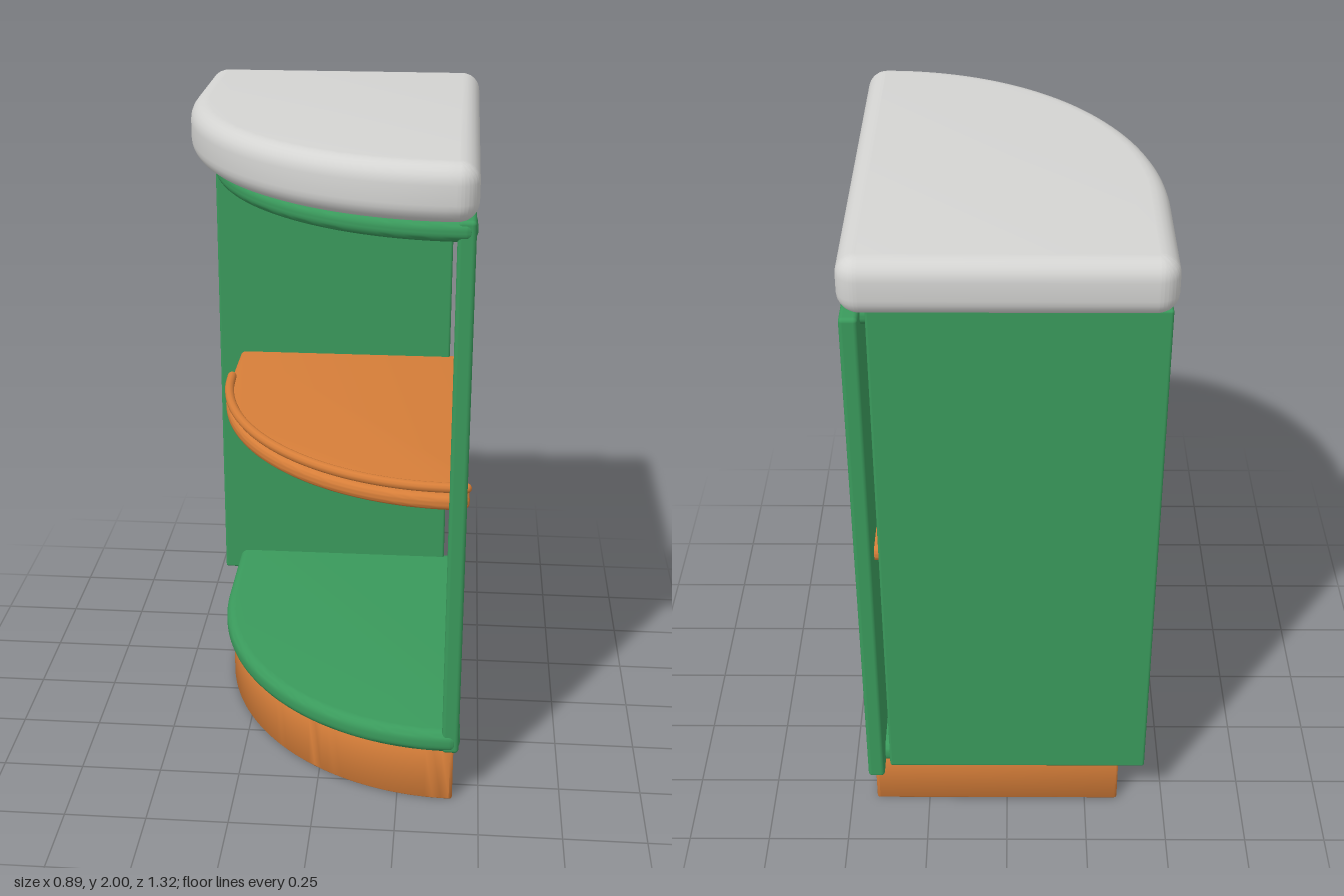
import * as THREE from 'three';
import { toCreasedNormals } from 'three/addons/utils/BufferGeometryUtils.js';
import { RoundedBoxGeometry } from 'three/addons/geometries/RoundedBoxGeometry.js';

const CURVE_Z = -0.25; // where the straight left edge turns into the curved front

// D-shaped plan: straight back and right side, elliptical sweep on the front left.
function planShape({ left, right, back, front, corner: c, bulge = 0 }) {
  const s = new THREE.Shape();
  s.moveTo(left + c, -back);
  s.lineTo(right - c, -back);
  s.absarc(right - c, -back - c, c, Math.PI / 2, 0, true);
  if (bulge) {
    // the front corner swells slightly through the side panel
    s.lineTo(right, -front + 0.2);
    s.quadraticCurveTo(right + bulge, -front + 0.14, right + bulge, -front + c);
  }
  s.absarc(right + bulge - c, -front + c, c, 0, -Math.PI / 2, true);
  s.absellipse(right - c, -CURVE_Z, right - c - left, front - CURVE_Z, -Math.PI / 2, -Math.PI, true, 0);
  s.lineTo(left, -back - c);
  s.absarc(left + c, -back - c, c, Math.PI, Math.PI / 2, true);
  return s;
}

// Horizontal slab with rounded rims between heights y0 and y1.
function slab(name, material, plan, y0, y1, bevel) {
  const geo = new THREE.ExtrudeGeometry(planShape(plan), {
    depth: y1 - y0 - 2 * bevel,
    bevelThickness: bevel,
    bevelSize: bevel,
    bevelOffset: -bevel,
    bevelSegments: 6,
    curveSegments: 24,
  });
  geo.rotateX(-Math.PI / 2);
  geo.translate(0, y0 + bevel, 0);
  const mesh = new THREE.Mesh(toCreasedNormals(geo, 0.7), material);
  mesh.name = name;
  return mesh;
}

// Upright board given by its extents.
function board(name, material, x0, x1, y0, y1, z0, z1, r) {
  const mesh = new THREE.Mesh(new RoundedBoxGeometry(x1 - x0, y1 - y0, z1 - z0, 3, r), material);
  mesh.position.set((x0 + x1) / 2, (y0 + y1) / 2, (z0 + z1) / 2);
  mesh.name = name;
  return mesh;
}

export function createModel() {
  const group = new THREE.Group();
  group.name = 'cornerCabinet';
  const green = new THREE.MeshStandardMaterial({ name: 'greenPaint', color: 0x3a9a5c });
  const orange = new THREE.MeshStandardMaterial({ name: 'orangeWood', color: 0xd67e39 });
  const grey = new THREE.MeshStandardMaterial({ name: 'paleStone', color: 0xd4d4d2 });

  // Plinth and worktop
  group.add(slab('plinth', orange,
    { left: -0.355, right: 0.42, back: -0.575, front: 0.58, corner: 0.01 }, 0, 0.18, 0.005));
  group.add(slab('worktop', grey,
    { left: -0.445, right: 0.44, back: -0.66, front: 0.66, corner: 0.06 }, 1.838, 2, 0.055));

  // Side and back panels, with a narrow gap between them
  group.add(board('sidePanel', green, 0.384, 0.435, 0.175, 1.836, -0.652, 0.596, 0.012));
  group.add(board('backPanel', green, -0.434, 0.37, 0.175, 1.836, -0.605, -0.555, 0.008));

  // Carcass shelves
  const carcass = { left: -0.378, right: 0.426, back: -0.59, front: 0.6, corner: 0.034, bulge: 0.013 };
  group.add(slab('bottomShelf', green, carcass, 0.174, 0.247, 0.03));
  group.add(slab('topShelf', green, carcass, 1.774, 1.836, 0.028));

  // Middle shelf
  group.add(slab('middleShelf', orange,
    { left: -0.362, right: 0.424, back: -0.58, front: 0.583, corner: 0.024, bulge: 0.018 }, 0.98, 1.028, 0.02));

  // Guard rail following the shelf edge, with rounded ends
  const rail = new THREE.Group();
  rail.name = 'shelfRail';
  const points = [new THREE.Vector3(0.432, 1.052, 0.572)];
  for (let i = 0; i <= 14; i++) {
    const a = (i / 14) * Math.PI / 2;
    points.push(new THREE.Vector3(0.39 - 0.74 * Math.sin(a), 1.052, CURVE_Z + 0.823 * Math.cos(a)));
  }
  const path = new THREE.CatmullRomCurve3(points);
  const tube = new THREE.Mesh(new THREE.TubeGeometry(path, 64, 0.015, 10), orange);
  tube.name = 'railTube';
  rail.add(tube);
  for (const p of [points[0], points[points.length - 1]]) {
    const cap = new THREE.Mesh(new THREE.SphereGeometry(0.015, 12, 8), orange);
    cap.position.copy(p);
    cap.name = 'railEnd';
    rail.add(cap);
  }
  group.add(rail);

  return group;
}
